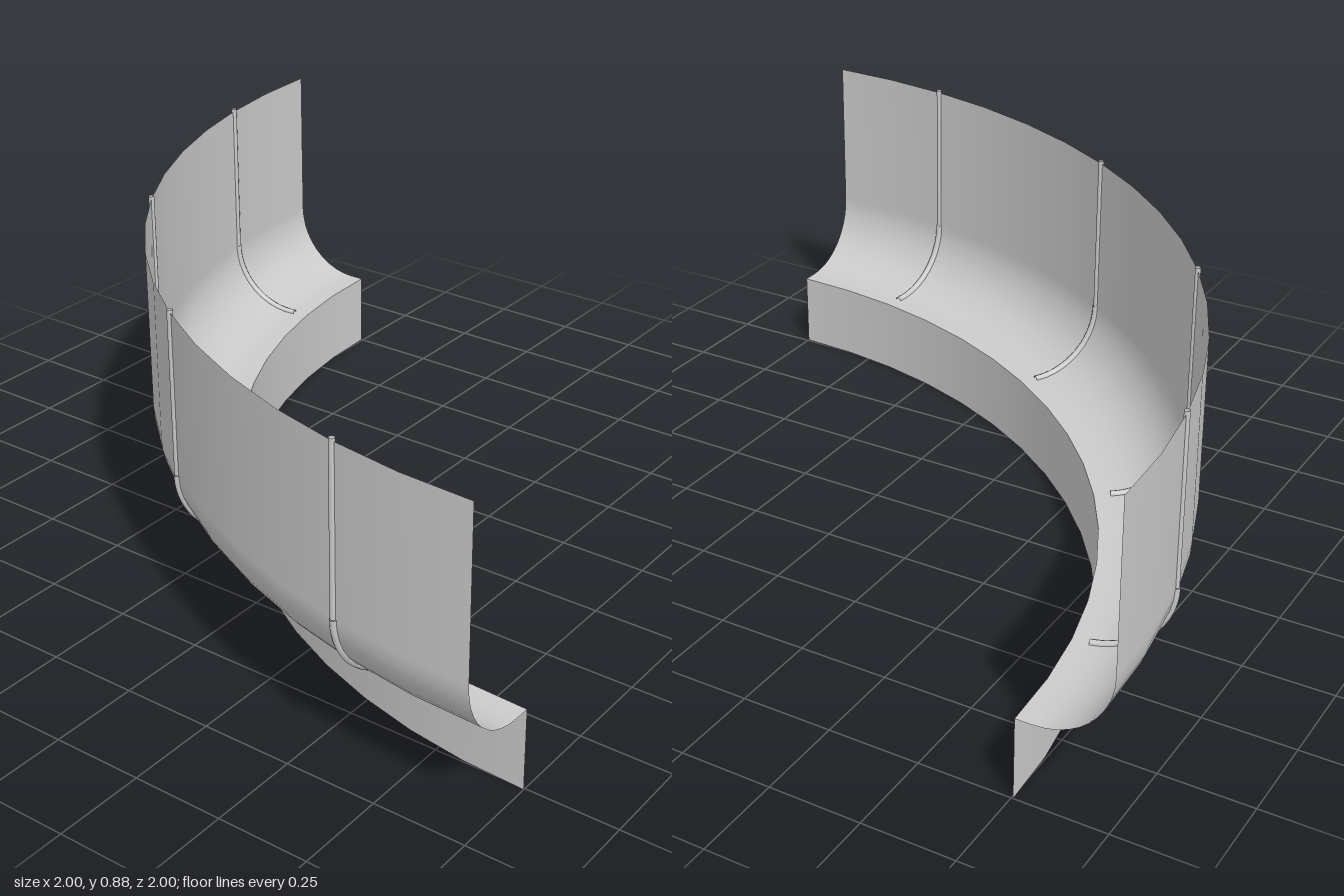
import * as THREE from 'three';

const SEGMENTS = 16;
const OUTER = 2, INNER = 1.755, TOP = 0.877, SHELF = 0.225, BEND = 0.2;

export function createModel() {
  const group = new THREE.Group();
  const material = new THREE.MeshStandardMaterial({ color: 0xcccccc, side: THREE.DoubleSide });

  // All parts sweep a quarter turn about one corner of the footprint
  const sweep = new THREE.Group();
  sweep.name = 'quarterWall';
  sweep.position.set(1, 0, 1);
  group.add(sweep);

  const add = (name, geometry) => {
    const mesh = new THREE.Mesh(geometry, material);
    mesh.name = name;
    sweep.add(mesh);
  };
  const quarterLathe = (points) => new THREE.LatheGeometry(points, SEGMENTS, Math.PI, Math.PI / 2);

  // Rounded lower bend, listed from the shelf up to the wall
  const bend = [];
  for (let i = 0; i <= 10; i++) {
    const t = (i / 10) * Math.PI / 2;
    bend.push(new THREE.Vector2(OUTER - BEND + BEND * Math.sin(t), SHELF + BEND - BEND * Math.cos(t)));
  }

  // Recessed base strip, and the wall that curves in to meet it
  add('baseStrip', quarterLathe([new THREE.Vector2(INNER, 0), new THREE.Vector2(INNER, SHELF)]));
  add('curvedWall', quarterLathe([new THREE.Vector2(INNER, SHELF), ...bend, new THREE.Vector2(OUTER, TOP)]));

  // Thin ribs: a straight upright and a slightly thicker bent foot
  for (let i = 0; i < 4; i++) {
    const angle = (i + 0.5) * Math.PI / 8;
    const place = (r, y) => new THREE.Vector3(-r * Math.cos(angle), y, -r * Math.sin(angle));
    const upright = new THREE.LineCurve3(place(OUTER, SHELF + BEND), place(OUTER, TOP + 0.008));
    const foot = new THREE.CatmullRomCurve3(bend.map((p) => place(p.x, p.y)));
    add('ribUpright', new THREE.TubeGeometry(upright, 1, 0.008, 8));
    add('ribFoot', new THREE.TubeGeometry(foot, 16, 0.01, 8));
  }

  return group;
}
